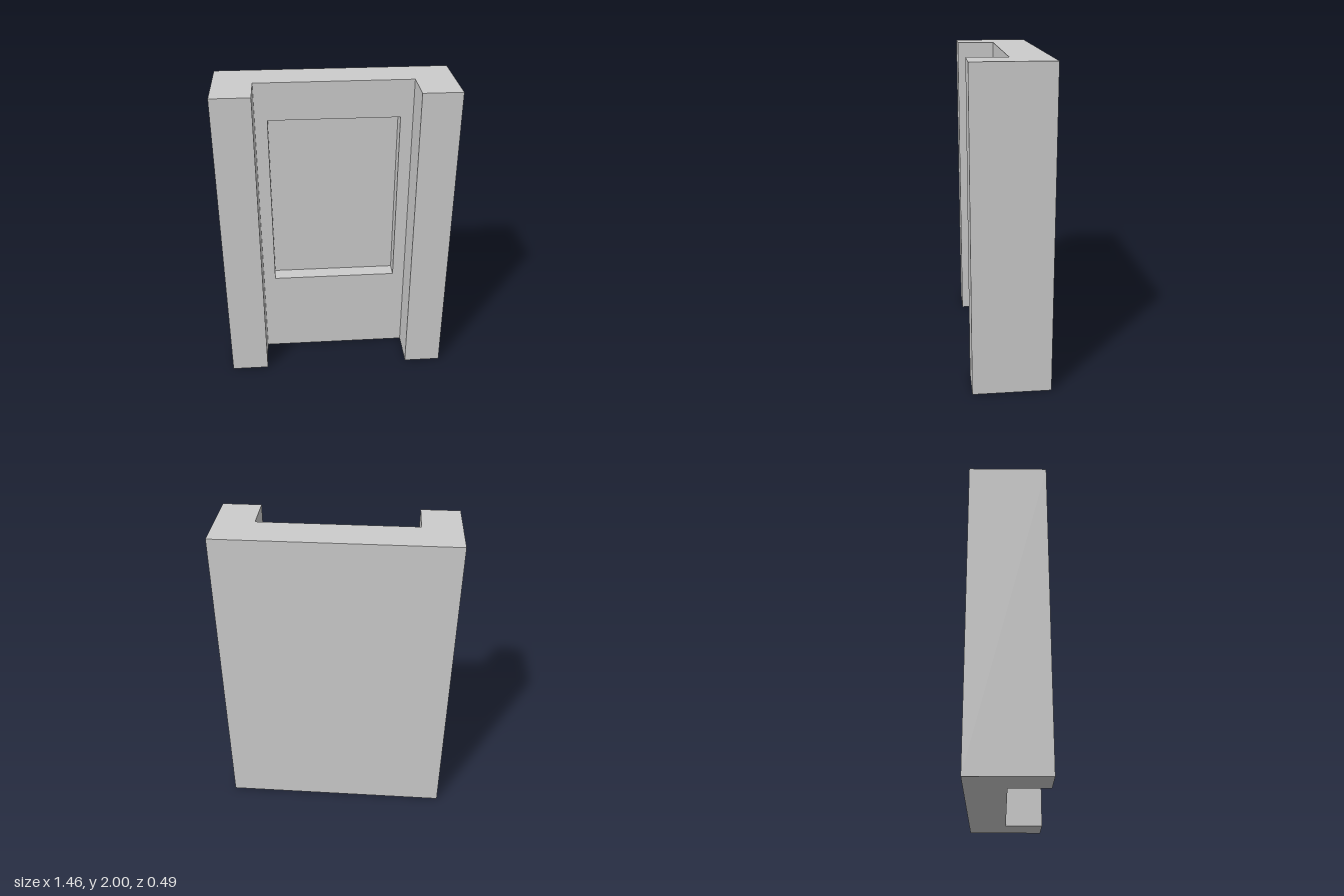
import * as THREE from 'three';

const HEIGHT = 2, HALF_W = 0.73, HALF_D = 0.244;
const INNER = 0.488;                     // half width between the piers
const RECESS = 0.098;                    // depth of the sunken panel
const OPENING = { x: 0.41, bottom: 0.588, top: 1.76 };

export function createModel() {
  const group = new THREE.Group();
  group.name = 'panelledWall';
  const material = new THREE.MeshStandardMaterial({ color: 0xcccccc, flatShading: true });

  const add = (name, geometry, x, y, z) => {
    const mesh = new THREE.Mesh(geometry, material);
    mesh.name = name;
    mesh.position.set(x, y, z);
    group.add(mesh);
  };

  // Full-depth piers on both sides
  const pierWidth = HALF_W - INNER;
  for (const side of [-1, 1]) {
    add(side > 0 ? 'leftPier' : 'rightPier',
      new THREE.BoxGeometry(pierWidth, HEIGHT, HALF_D * 2),
      side * (INNER + pierWidth / 2), HEIGHT / 2, 0);
  }

  // Solid back slab, whose front is the floor of the recess
  const slabDepth = HALF_D - RECESS;
  add('backSlab', new THREE.BoxGeometry(INNER * 2, HEIGHT, slabDepth),
    0, HEIGHT / 2, -HALF_D + slabDepth / 2);

  // Front layer of the wall with the rectangular opening
  const { x, bottom, top } = OPENING;
  const points = (list) => list.map(([px, py]) => new THREE.Vector2(px, py));
  const frame = new THREE.Shape(points([[-INNER, 0], [INNER, 0], [INNER, HEIGHT], [-INNER, HEIGHT]]));
  frame.holes.push(new THREE.Path(points([[-x, bottom], [-x, top], [x, top], [x, bottom]])));
  add('recessFrame',
    new THREE.ExtrudeGeometry(frame, { depth: RECESS, bevelEnabled: false }),
    0, 0, -RECESS);

  return group;
}
